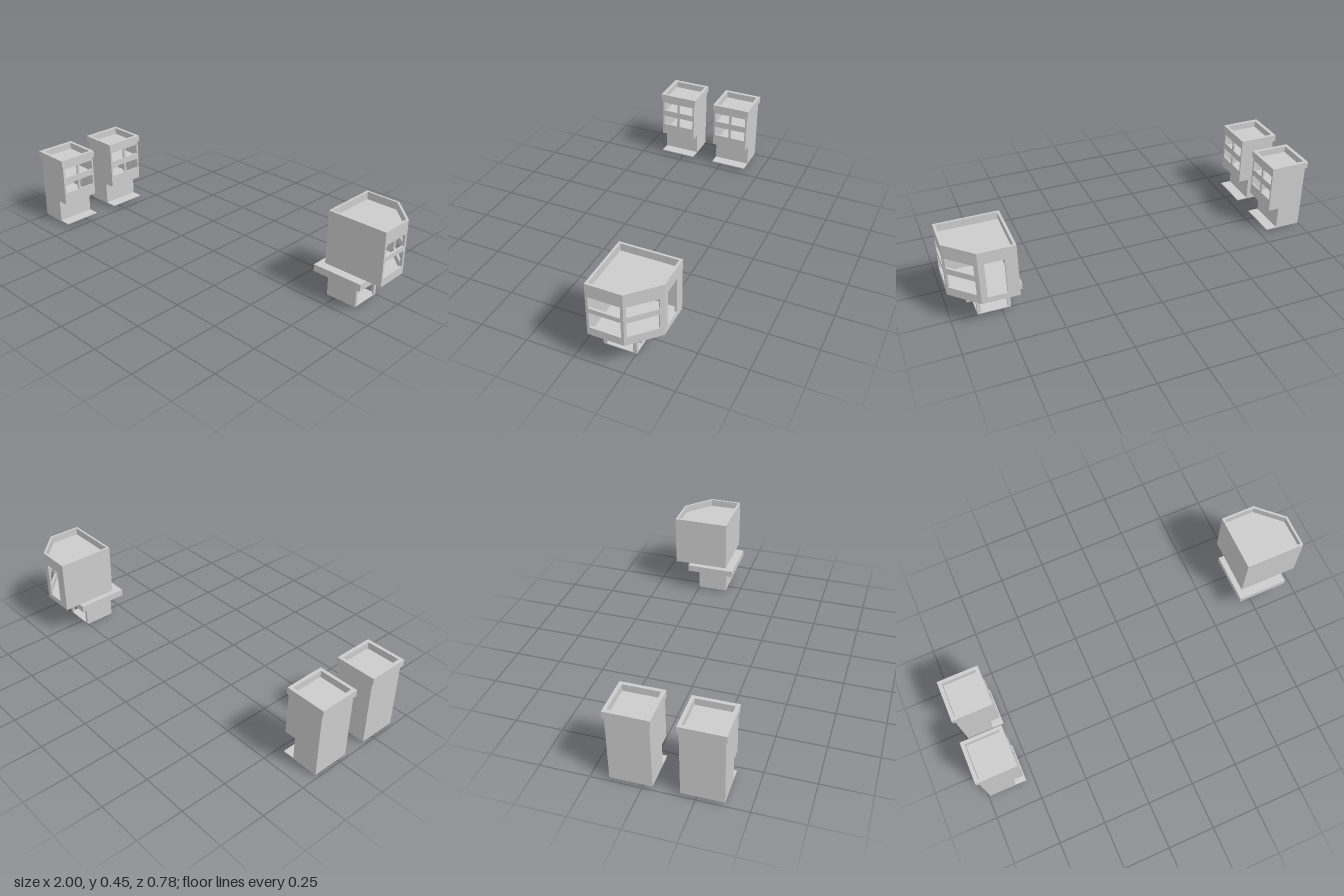
import * as THREE from 'three';

const material = new THREE.MeshStandardMaterial({ color: 0xcccccc, flatShading: true, side: THREE.DoubleSide });

function add(parent, name, geometry) {
  const mesh = new THREE.Mesh(geometry, material);
  mesh.name = name;
  parent.add(mesh);
  return mesh;
}

// Box given by its minimum and maximum corners
function block(parent, name, [x0, y0, z0], [x1, y1, z1]) {
  const mesh = add(parent, name, new THREE.BoxGeometry(x1 - x0, y1 - y0, z1 - z0));
  mesh.position.set((x0 + x1) / 2, (y0 + y1) / 2, (z0 + z1) / 2);
}

const polygon = (points, Type = THREE.Shape) => new Type(points.map(([x, y]) => new THREE.Vector2(x, y)));
const rect = (x0, y0, x1, y1) => [[x0, y0], [x1, y0], [x1, y1], [x0, y1]];

// Upright wall from a to b (x, z), left to right seen from outside.
// Openings are [u0, y0, u1, y1], with u measured along the wall from a.
function wall(parent, name, a, b, y0, y1, thickness, openings = []) {
  const dx = b[0] - a[0], dz = b[1] - a[1];
  const shape = polygon(rect(0, y0, Math.hypot(dx, dz), y1));
  for (const o of openings) shape.holes.push(polygon(rect(...o).reverse(), THREE.Path));
  const geometry = new THREE.ExtrudeGeometry(shape, { depth: thickness, bevelEnabled: false });
  geometry.translate(0, 0, -thickness);
  const mesh = add(parent, name, geometry);
  mesh.rotation.y = Math.atan2(-dz, dx);
  mesh.position.set(a[0], 0, a[1]);
}

// Horizontal slab from (x, z) outline points, with an optional hole
function slab(parent, name, outline, y0, y1, hole) {
  const flip = (points) => points.map(([x, z]) => [x, -z]);
  const shape = polygon(flip(outline));
  if (hole) shape.holes.push(polygon(flip(hole), THREE.Path));
  const geometry = new THREE.ExtrudeGeometry(shape, { depth: y1 - y0, bevelEnabled: false });
  geometry.rotateX(-Math.PI / 2);
  add(parent, name, geometry).position.y = y0;
}

// Narrow building facing +x, with a recessed ground floor
function townHouse(z) {
  const house = new THREE.Group();
  house.name = 'townHouse';
  const x0 = -0.99, x1 = -0.79, h = 0.103, t = 0.01;
  block(house, 'groundSlab', [x0, 0.012, -h], [x1, 0.018, h]);
  block(house, 'groundFloor', [x0, 0.018, -h], [-0.85, 0.14, h]);

  const windows = [];
  for (const u of [0.01, 0.11]) {
    for (const [y0, y1] of [[0.205, 0.262], [0.298, 0.352]]) windows.push([u, y0, u + 0.086, y1]);
  }
  wall(house, 'windowWall', [x1, h], [x1, -h], 0.14, 0.37, t, windows);
  wall(house, 'backWall', [x0, -h], [x0, h], 0.14, 0.37, t);
  wall(house, 'sideWall', [x0, h], [x1, h], 0.14, 0.37, t);
  wall(house, 'sideWall', [x1, -h], [x0, -h], 0.14, 0.37, t);
  block(house, 'lowerFloor', [x0, 0.14, -h], [x1, 0.15, h]);
  block(house, 'upperFloor', [x0 + t, 0.275, -h + t], [x1 - t, 0.285, h - t]);
  block(house, 'roofDeck', [x0, 0.362, -h], [x1, 0.37, h]);
  slab(house, 'cornice', rect(-1, -0.11, -0.785, 0.11), 0.37, 0.406, rect(-0.98, -0.092, -0.803, 0.092));
  house.position.z = z;
  return house;
}

// Corner building with a chamfered upper block on a small open base
function cornerHouse() {
  const house = new THREE.Group();
  house.name = 'cornerHouse';
  const t = 0.012, y0 = 0.17, y1 = 0.454;
  const outline = [[0.68, -0.08], [1, -0.08], [1, -0.26], [0.865, -0.39], [0.68, -0.39]];
  const openings = [
    [],
    [[0.011, 0.212, 0.166, 0.297], [0.011, 0.321, 0.166, 0.384]],
    [[0.013, 0.216, 0.165, 0.294], [0.013, 0.326, 0.165, 0.382]],
    [[0.03, 0.2, 0.125, 0.39]],
    [],
  ];
  const names = ['frontWall', 'sideWindowWall', 'chamferWindowWall', 'tallOpeningWall', 'plainSideWall'];
  outline.forEach((a, i) => wall(house, names[i], a, outline[(i + 1) % 5], y0, y1, t, openings[i]));
  slab(house, 'upperFloor', outline, y0, y0 + 0.01);
  const inner = [[0.685, -0.085], [0.995, -0.085], [0.995, -0.258], [0.863, -0.385], [0.685, -0.385]];
  slab(house, 'roofDeck', inner, 0.405, 0.415);

  // Projecting ledge under the upper block
  block(house, 'ledge', [0.65, 0.133, -0.305], [0.922, y0, -0.032]);

  // Base with two open sides meeting at a corner post
  const bx0 = 0.702, bx1 = 0.87, bz0 = -0.252, bz1 = -0.083, b = 0.008;
  block(house, 'baseFloor', [bx0, 0, bz0], [bx1, 0.005, bz1]);
  wall(house, 'baseFrontWall', [bx0, bz1], [bx1, bz1], 0, 0.133, b);
  wall(house, 'baseOpenSide', [bx1, bz1], [bx1, bz0], 0, 0.133, b, [[0.018, 0.005, 0.151, 0.098]]);
  wall(house, 'baseOpenBack', [bx1, bz0], [bx0, bz0], 0, 0.133, b, [[0.018, 0.005, 0.151, 0.098]]);
  wall(house, 'basePlainSide', [bx0, bz0], [bx0, bz1], 0, 0.133, b);
  return house;
}

export function createModel() {
  const model = new THREE.Group();
  model.name = 'streetBuildings';
  model.add(townHouse(0.28), townHouse(-0.055), cornerHouse());
  return model;
}
